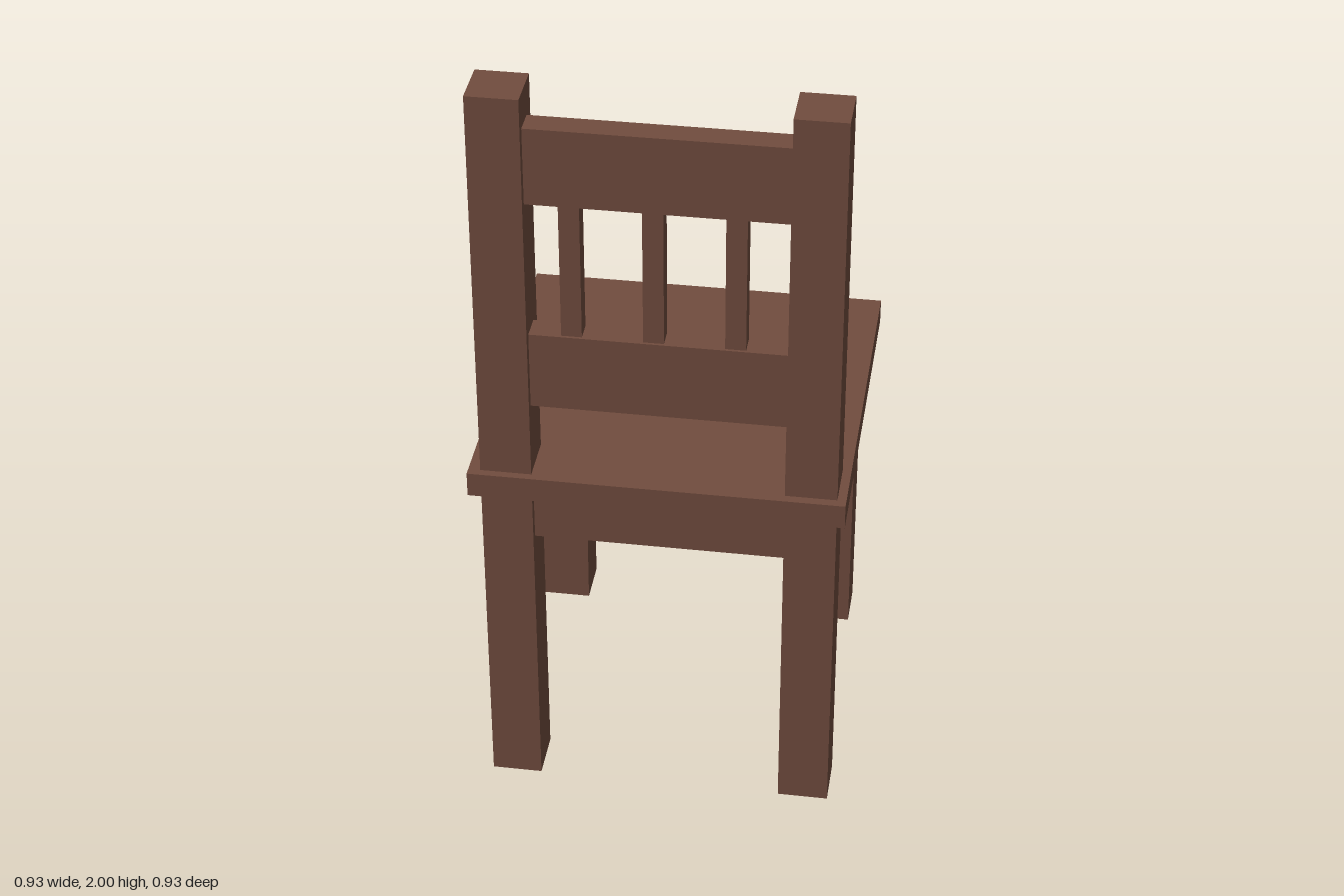
import * as THREE from 'three';

export function createModel() {
  const chair = new THREE.Group();
  chair.name = 'chair';
  const wood = new THREE.MeshStandardMaterial({ color: 0x724d3f, side: THREE.DoubleSide });
  wood.name = 'brown wood';

  // Box given by its lower and upper limits on each axis
  function bar(name, [x0, x1], [y0, y1], [z0, z1], openBottom = false) {
    const geo = new THREE.BoxGeometry(x1 - x0, y1 - y0, z1 - z0);
    if (openBottom) {
      // drop the bottom face, leaving the leg hollow
      geo.setIndex(Array.from(geo.index.array).filter((_, i) => i < 18 || i > 23));
      geo.clearGroups();
    }
    const mesh = new THREE.Mesh(geo, wood);
    mesh.name = name;
    mesh.position.set((x0 + x1) / 2, (y0 + y1) / 2, (z0 + z1) / 2);
    chair.add(mesh);
  }

  const inner = [-0.31, 0.315];
  const railDepth = [0.357, 0.422];

  // Seat
  bar('seat', [-0.465, 0.465], [0.895, 0.96], [-0.465, 0.463]);

  // Tall posts carrying the backrest, and short legs opposite
  bar('rightPost', [-0.435, -0.308], [0, 2], [0.315, 0.443], true);
  bar('leftPost', [0.315, 0.443], [0, 2], [0.312, 0.44], true);
  bar('rightLeg', [-0.435, -0.308], [0.015, 0.897], [-0.41, -0.285], true);
  bar('leftLeg', [0.297, 0.424], [0.015, 0.897], [-0.41, -0.285], true);

  // Aprons under the seat
  bar('postApron', inner, [0.757, 0.897], railDepth);
  bar('legApron', [-0.31, 0.3], [0.762, 0.897], [-0.392, -0.328]);
  bar('rightApron', [-0.418, -0.355], [0.765, 0.897], [-0.287, 0.317]);
  bar('leftApron', [0.343, 0.406], [0.765, 0.897], [-0.287, 0.317]);

  // Backrest rails and spindles
  bar('lowerRail', inner, [1.15, 1.355], railDepth);
  bar('upperRail', inner, [1.715, 1.915], railDepth);
  for (const x of [-0.205, -0.008, 0.188]) {
    bar('spindle', [x - 0.025, x + 0.025], [1.35, 1.72], [0.365, 0.415]);
  }
  return chair;
}
